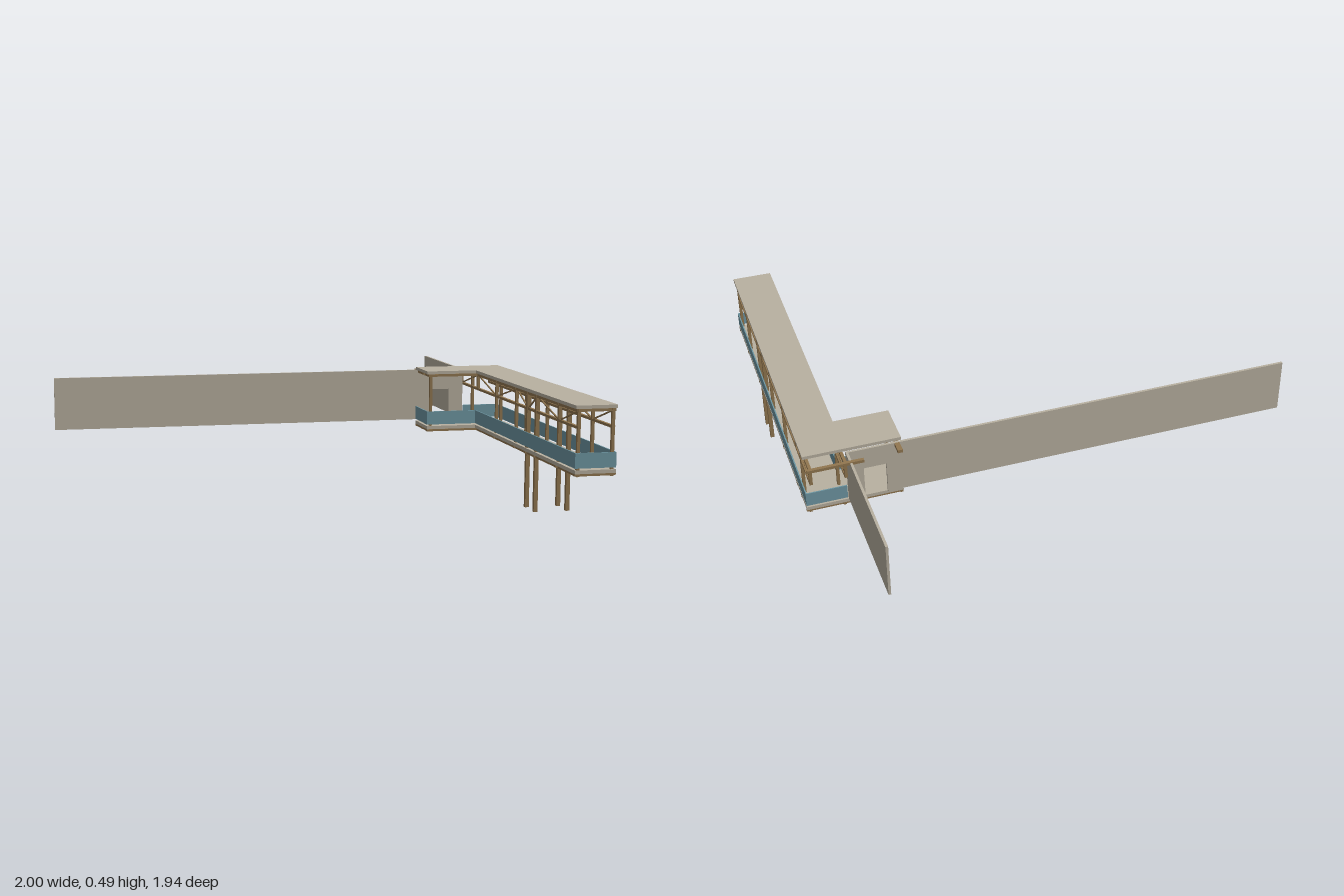
import * as THREE from 'three';

export function createModel() {
  const model = new THREE.Group();
  model.name = 'elevatedWalkway';
  const mat = (name, color) => {
    const m = new THREE.MeshStandardMaterial({ color });
    m.name = name;
    return m;
  };
  const plaster = mat('warm grey', 0xb9b1a1);
  const wood = mat('timber brown', 0x927750);
  const blue = mat('blue panel', 0x6f98a4);

  // Box given by its minimum and maximum corners
  const box = (name, material, x0, x1, y0, y1, z0, z1) => {
    const mesh = new THREE.Mesh(new THREE.BoxGeometry(x1 - x0, y1 - y0, z1 - z0), material);
    mesh.position.set((x0 + x1) / 2, (y0 + y1) / 2, (z0 + z1) / 2);
    mesh.name = name;
    model.add(mesh);
  };
  // Flat polygon of [a, b] points, extruded by depth
  const extrude = (points, depth) => new THREE.ExtrudeGeometry(
    new THREE.Shape(points.map(([a, b]) => new THREE.Vector2(a, b))), { depth, bevelEnabled: false });
  const add = (name, geometry, material) => {
    const mesh = new THREE.Mesh(geometry, material);
    mesh.name = name;
    model.add(mesh);
  };

  // L-shaped roof and deck (shape y is -z)
  const plan = [[0.615, 0.393], [0.615, 0.21], [0.837, 0.21], [0.837, -0.97], [1, -0.97], [1, 0.393]];
  const slab = (name, y, h) => add(name, extrude(plan, h).rotateX(-Math.PI / 2).translate(0, y, 0), plaster);
  slab('roof', 0.475, 0.013);
  slab('deck', 0.231, 0.014);

  // Long wall with a doorway, and the wall running back
  add('longWall', extrude([[-1, 0.25], [0.68, 0.25], [0.68, 0.385], [0.77, 0.385], [0.77, 0.25],
    [0.835, 0.25], [0.835, 0.475], [-1, 0.475]], 0.01).translate(0, 0, -0.405), plaster);
  box('backWall', plaster, 0.825, 0.835, 0.25, 0.475, -0.975, -0.395);

  // Blue railing panels around the deck edge
  const panel = (x0, x1, z0, z1) => box('railingPanel', blue, x0, x1, 0.252, 0.31, z0, z1);
  const t = 0.005;
  panel(1 - t, 1, -0.393, 0.97);
  panel(0.837, 1, 0.97 - t, 0.97);
  panel(0.837, 0.837 + t, -0.21, 0.97);
  panel(0.615, 0.837 + t, -0.21 - t, -0.21);
  panel(0.615, 0.615 + t, -0.393, -0.21);
  panel(0.837, 1, -0.393, -0.393 + t);

  const r = 0.006;
  const postZ = [0.962, 0.77, 0.29, 0.04, -0.293];
  const legZ = [0.53, 0.43];
  const nodes = [[0.962, 0.467], [0.77, 0.405], [0.53, 0.467], [0.43, 0.405], [0.29, 0.467],
    [0.04, 0.405], [-0.213, 0.467], [-0.453, 0.405]];

  for (const x of [0.85, 0.985]) {
    // Truss chords, floor beams and posts
    box('topChord', wood, x - r, x + r, 0.462, 0.475, -0.46, 0.97);
    box('bottomChord', wood, x - r, x + r, 0.4, 0.41, -0.458, 0.97);
    box('floorBeam', wood, x - r, x + r, 0.22, 0.231, -0.393, 0.97);
    for (const z of postZ) box('post', wood, x - r, x + r, 0.231, 0.47, z - r, z + r);
    for (const z of [-0.213, -0.453]) box('shortPost', wood, x - r, x + r, 0.402, 0.47, z - r, z + r);
    for (const z of legZ) box('supportLeg', wood, x - 0.008, x + 0.008, 0, 0.475, z - 0.008, z + 0.008);

    // Truss diagonals
    for (let i = 0; i + 1 < nodes.length; i++) {
      const [z0, y0] = nodes[i], [z1, y1] = nodes[i + 1];
      const diagonal = new THREE.Mesh(
        new THREE.BoxGeometry(0.005, 0.005, Math.hypot(z1 - z0, y1 - y0)), wood);
      diagonal.position.set(x, (y0 + y1) / 2, (z0 + z1) / 2);
      diagonal.rotation.x = -Math.atan2(y1 - y0, z1 - z0);
      diagonal.name = 'trussDiagonal';
      model.add(diagonal);
    }
  }

  // Cross beams below the deck and roof
  for (const z of [...postZ, ...legZ, -0.213]) {
    const x0 = z < -0.2 ? 0.615 : 0.837;
    const z0 = Math.max(z, -0.385);
    box('floorJoist', wood, x0, 1, 0.222, 0.231, z0 - r, z0 + r);
    box('roofJoist', wood, x0 + 0.005, 0.995, 0.464, 0.475, z0 - r, z0 + r);
  }
  box('floorJoist', wood, 0.615, 1, 0.222, 0.231, -0.39, -0.378);
  box('endBeam', wood, 0.78, 1, 0.466, 0.478, -0.472, -0.458);

  // Timber of the short side wing
  box('wingRoofBeam', wood, 0.625, 0.645, 0.462, 0.475, -0.455, -0.21);
  box('wingFloorBeam', wood, 0.617, 0.629, 0.222, 0.231, -0.393, -0.21);
  for (const z of [-0.225]) box('wingPost', wood, 0.629, 0.641, 0.231, 0.47, z - r, z + r);

  return model;
}
